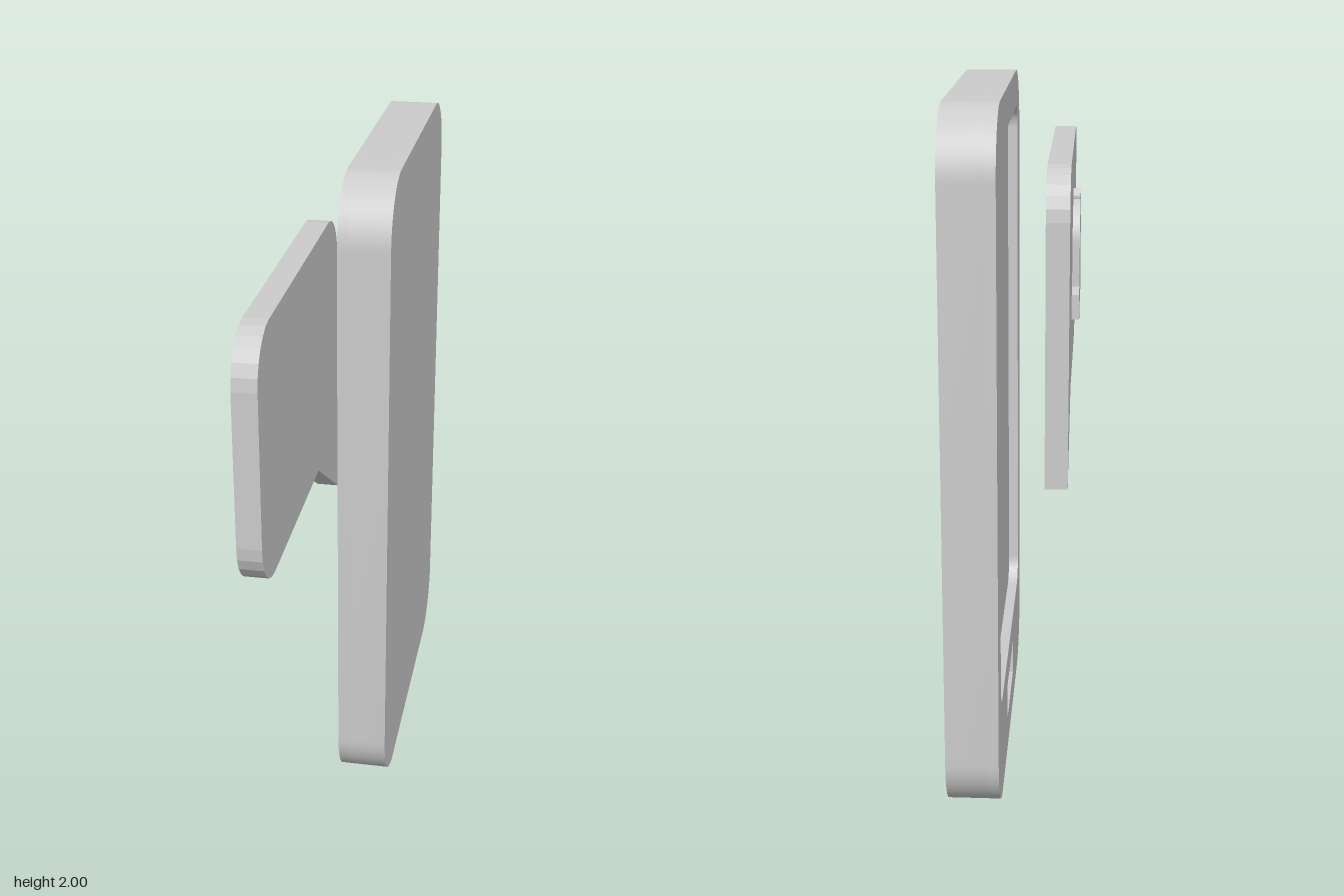
import * as THREE from 'three';
import { toCreasedNormals } from 'three/addons/utils/BufferGeometryUtils.js';

const material = new THREE.MeshStandardMaterial({ color: 0xcccccc });

// Rounded rectangle outline; first coordinate is z, second is y
function roundedRect(path, z0, y0, z1, y1, r) {
  path.moveTo(z0 + r, y0);
  path.lineTo(z1 - r, y0);
  path.absarc(z1 - r, y0 + r, r, -Math.PI / 2, 0);
  path.lineTo(z1, y1 - r);
  path.absarc(z1 - r, y1 - r, r, 0, Math.PI / 2);
  path.lineTo(z0 + r, y1);
  path.absarc(z0 + r, y1 - r, r, Math.PI / 2, Math.PI);
  path.lineTo(z0, y0 + r);
  path.absarc(z0 + r, y0 + r, r, Math.PI, Math.PI * 1.5);
  return path;
}

// Slab with a (z, y) outline, running from xMin to xMax
function slab(name, shape, xMin, xMax, curveSegments, smooth) {
  let geo = new THREE.ExtrudeGeometry(shape, { depth: xMax - xMin, bevelEnabled: false, curveSegments });
  geo.rotateY(-Math.PI / 2);
  geo.translate(xMax, 0, 0);
  if (smooth) geo = toCreasedNormals(geo, 0.6);
  const mesh = new THREE.Mesh(geo, material);
  mesh.name = name;
  return mesh;
}

function createPhone() {
  const phone = new THREE.Group();
  phone.name = 'phone';
  const outline = () => roundedRect(new THREE.Shape(), -0.84, 0, 0.31, 2, 0.185);

  // Solid back; its front surface is the floor of both recesses
  phone.add(slab('phoneBack', outline(), 0.05, 0.17, 10, true));

  // Front frame with openings for the screen and the home button
  const frame = outline();
  frame.holes.push(roundedRect(new THREE.Path(), -0.73, 0.3, 0.2, 1.89, 0.07));
  const button = new THREE.Path();
  button.moveTo(-0.41, 0.1);
  button.lineTo(-0.12, 0.1);
  button.lineTo(-0.12, 0.21);
  button.lineTo(-0.41, 0.21);
  button.closePath();
  frame.holes.push(button);
  phone.add(slab('phoneFrame', frame, 0.02, 0.05, 10, true));
  return phone;
}

function createBubble() {
  // Speech bubble with faceted corners and a pointed tail
  const s = new THREE.Shape();
  const r = 0.145, z0 = -0.27, z1 = 0.84, y0 = 1.015, y1 = 1.755;
  s.moveTo(z0, 0.795);
  s.lineTo(0.065, y0);
  s.lineTo(z1 - r, y0);
  s.absarc(z1 - r, y0 + r, r, -Math.PI / 2, 0);
  s.lineTo(z1, y1 - r);
  s.absarc(z1 - r, y1 - r, r, 0, Math.PI / 2);
  s.lineTo(z0 + r, y1);
  s.absarc(z0 + r, y1 - r, r, Math.PI / 2, Math.PI);
  s.closePath();
  return slab('speechBubble', s, -0.155, -0.085, 3, false);
}

function createBell() {
  // Raised bell: clapper, flared base, domed body and top knob
  const c = 0.31, s = new THREE.Shape();
  s.moveTo(c - 0.18, 1.22);
  s.lineTo(c - 0.04, 1.22);
  s.absarc(c, 1.22, 0.04, Math.PI, Math.PI * 2);
  s.lineTo(c + 0.18, 1.22);
  s.lineTo(c + 0.18, 1.3);
  s.lineTo(c + 0.125, 1.315);
  s.lineTo(c + 0.125, 1.455);
  s.absarc(c, 1.455, 0.125, 0, Math.PI * 0.44);
  s.absarc(c, 1.585, 0.025, -0.2, Math.PI + 0.2);
  s.absarc(c, 1.455, 0.125, Math.PI * 0.56, Math.PI);
  s.lineTo(c - 0.125, 1.315);
  s.lineTo(c - 0.18, 1.3);
  s.closePath();
  return slab('bell', s, -0.178, -0.155, 8, true);
}

export function createModel() {
  const model = new THREE.Group();
  model.name = 'phoneNotification';
  model.add(createPhone(), createBubble(), createBell());
  return model;
}
